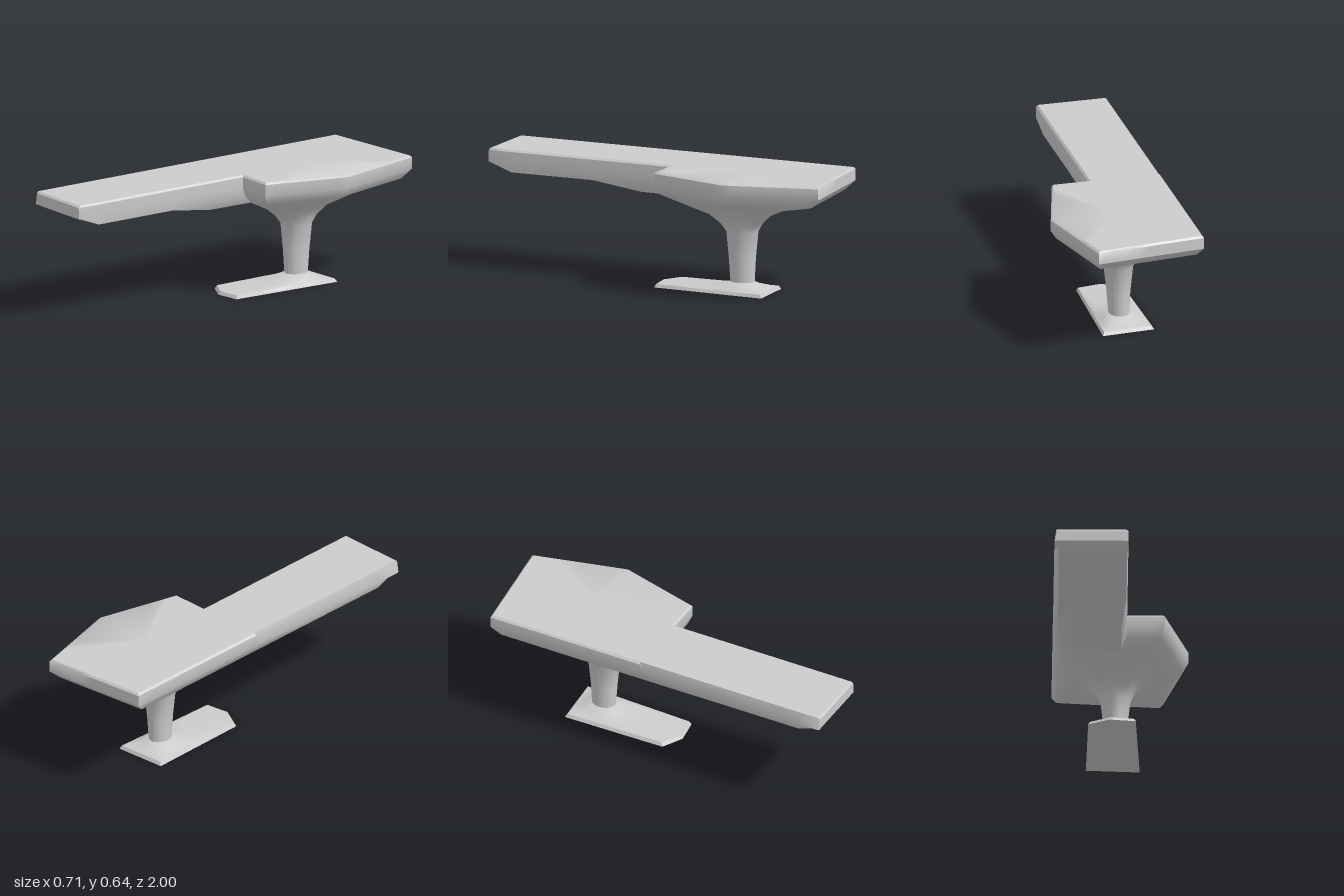
import * as THREE from 'three';
import { toCreasedNormals } from 'three/addons/utils/BufferGeometryUtils.js';

const material = new THREE.MeshStandardMaterial({ color: 0xcccccc });

// Skin a list of equal-length rings [[x, y, z], ...] and close both ends.
function loft(name, rings, crease = 0.75) {
  const n = rings[0].length;
  const positions = rings.flat(2);
  const index = [];
  for (let r = 0; r < rings.length - 1; r++) {
    for (let i = 0; i < n; i++) {
      const j = (i + 1) % n;
      const a = r * n + i, b = r * n + j, c = b + n, d = a + n;
      index.push(a, b, c, a, c, d);
    }
  }
  for (const [r, flip] of [[0, true], [rings.length - 1, false]]) {
    const centre = positions.length / 3;
    for (let k = 0; k < 3; k++) positions.push(rings[r].reduce((s, p) => s + p[k], 0) / n);
    for (let i = 0; i < n; i++) {
      const a = r * n + i, b = r * n + (i + 1) % n;
      index.push(centre, ...(flip ? [b, a] : [a, b]));
    }
  }
  const geometry = new THREE.BufferGeometry();
  geometry.setAttribute('position', new THREE.Float32BufferAttribute(positions, 3));
  geometry.setIndex(index);
  const mesh = new THREE.Mesh(toCreasedNormals(geometry, crease), material);
  mesh.name = name;
  return mesh;
}

// Subdivide a polygon outline and scale it to the square -1..1.
function unitOutline(corners, steps = 8) {
  const xs = corners.map(p => p[0]), zs = corners.map(p => p[1]);
  const fit = (v, list) => {
    const lo = Math.min(...list), hi = Math.max(...list);
    return (2 * v - lo - hi) / (hi - lo);
  };
  const points = [];
  corners.forEach(([x, z], i) => {
    const [x2, z2] = corners[(i + 1) % corners.length];
    for (let s = 0; s < steps; s++) {
      const t = s / steps;
      points.push([fit(x + (x2 - x) * t, xs), fit(z + (z2 - z) * t, zs)]);
    }
  });
  return points;
}

// Ring at height y in the given bounds; round = 0 is the outline, 1 an ellipse.
function ring(outline, [y, x0, x1, z0, z1, round]) {
  return outline.map(([u, v]) => {
    const k = 1 + (1 / Math.hypot(u, v) - 1) * round;
    return [(x0 + x1 + u * k * (x1 - x0)) / 2, y, (z0 + z1 + v * k * (z1 - z0)) / 2];
  });
}

// Section of the long leaf at depth z; inset pulls in the upper edges.
function leafSection([z, top, low, bottom, inset]) {
  const l = -0.355 + inset, r = 0.03 - inset;
  return [
    [l + 0.01, top], [r - 0.01, top], [r, top - 0.01], [r, 0.575],
    [0.024, low], [0, bottom], [-0.225, bottom], [-0.33, low], [l, 0.575],
  ].map(([x, y]) => [x, y, z]);
}

export function createModel() {
  const group = new THREE.Group();
  group.name = 'pedestalTable';

  // Five-sided top flowing down into the column
  const headOutline = unitOutline([
    [-0.355, -0.935], [0.225, -1], [0.35, -0.5], [0.225, -0.055], [-0.355, -0.055],
  ]);
  group.add(loft('tableHeadAndColumn', [
    [0.645, -0.345, 0.34, -0.99, -0.065, 0],
    [0.635, -0.355, 0.352, -1, -0.055, 0],
    [0.575, -0.355, 0.352, -1, -0.055, 0],
    [0.525, -0.33, 0.32, -0.945, -0.075, 0],
    [0.48, -0.25, 0.212, -0.755, -0.13, 0.1],
    [0.41, -0.15, 0.097, -0.6, -0.27, 0.5],
    [0.365, -0.123, 0.07, -0.55, -0.325, 0.8],
    [0.32, -0.105, 0.05, -0.525, -0.355, 1],
    [0.18, -0.09, 0.034, -0.512, -0.367, 1],
    [0.055, -0.084, 0.025, -0.505, -0.375, 1],
  ].map(r => ring(headOutline, r))));

  // Long straight leaf reaching forward
  group.add(loft('tableLeaf', [
    [1, 0.635, 0.578, 0.577, 0.003],
    [0.99, 0.645, 0.57, 0.569, 0],
    [0.87, 0.645, 0.526, 0.525, 0],
    [0.4, 0.645, 0.526, 0.525, 0],
    [0.13, 0.645, 0.525, 0.483, 0],
    [-0.15, 0.645, 0.525, 0.481, 0],
  ].map(leafSection)));

  // Flat foot with a flared collar around the column
  const footOutline = unitOutline([
    [-0.18, -0.59], [0.1, -0.61], [0.075, 0.02], [-0.06, 0.04], [-0.172, -0.02],
  ]);
  group.add(loft('foot', [
    [0.055, -0.085, 0.026, -0.505, -0.374, 1],
    [0.038, -0.118, 0.06, -0.535, -0.33, 0.8],
    [0.024, -0.15, 0.08, -0.575, -0.25, 0.3],
    [0.018, -0.17, 0.092, -0.6, 0.03, 0],
    [0, -0.18, 0.1, -0.61, 0.04, 0],
  ].map(r => ring(footOutline, r))));

  return group;
}
